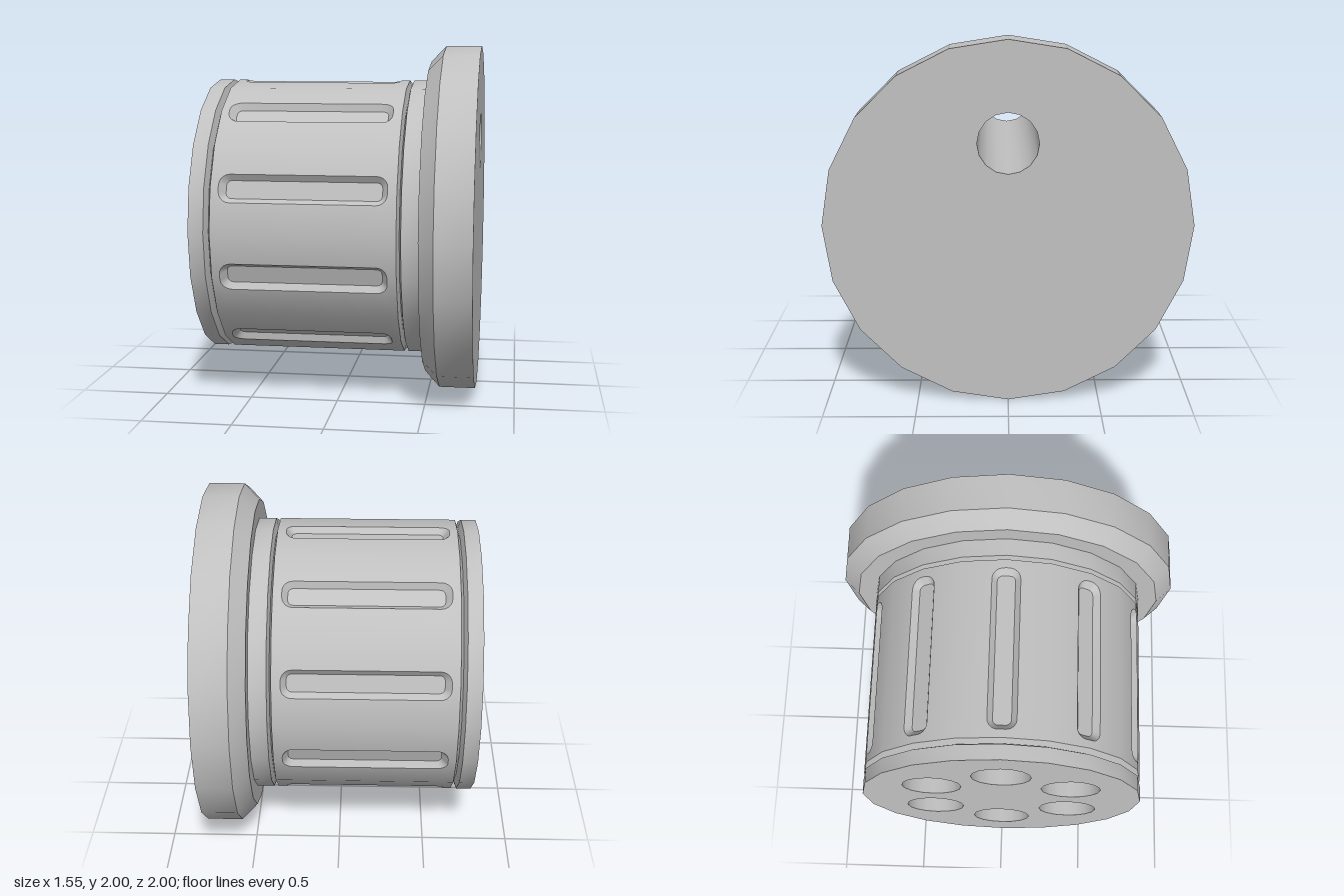
import * as THREE from 'three';
import { mergeGeometries, toCreasedNormals } from 'three/addons/utils/BufferGeometryUtils.js';

const SIDES = 20, R = 0.8, STEP = (2 * Math.PI) / SIDES;
const EDGE = 2 * R * Math.sin(STEP / 2);           // length of one drum facet
const DRUM_X0 = -0.655, DRUM_X1 = 0.36;            // fluted span
const REAR = -0.775, FRONT = 0.775, FLANGE_BACK = 0.485;
const BORE = 0.166, BORE_RING = 0.45, BORE_SIDES = 16;
const FLOOR_R = 0.755;

const grey = new THREE.MeshStandardMaterial({ color: 0xc0c0c0 });
grey.name = 'light grey';

function add(parent, name, geometry) {
  const mesh = new THREE.Mesh(geometry, grey);
  mesh.name = name;
  parent.add(mesh);
  return mesh;
}

// Turned surface around the x axis; profile is [x, radius] pairs
function turned(profile, sides = SIDES) {
  const pts = profile.map(([x, r]) => new THREE.Vector2(r, x));
  const g = new THREE.LatheGeometry(pts, sides).rotateZ(-Math.PI / 2);
  return toCreasedNormals(g, 0.5);
}

function ring(radius, sides, cx = 0, cy = 0) {
  return Array.from({ length: sides }, (_, i) => {
    const a = (i / sides) * 2 * Math.PI;
    return new THREE.Vector2(cx + radius * Math.cos(a), cy + radius * Math.sin(a));
  });
}

// Flat end face with bore openings; dir is +1 for the +x end, -1 for the -x end
function endFace(radius, centres, x, dir) {
  const shape = new THREE.Shape(ring(radius, SIDES));
  for (const [cx, cy] of centres) shape.holes.push(new THREE.Path(ring(BORE, BORE_SIDES, cx, cy)));
  return new THREE.ShapeGeometry(shape).rotateY((dir * Math.PI) / 2).translate(x, 0, 0);
}

// Half outline of a rounded slot as [s, x], s being the distance across the slot
function halfOutline(w, x0, x1, r) {
  const pts = [[0, x0]], n = 5;
  for (let i = 0; i <= n; i++) {
    const a = (i / n) * Math.PI / 2;
    pts.push([w - r + r * Math.sin(a), x0 + r - r * Math.cos(a)]);
  }
  for (let i = 0; i <= n; i++) {
    const a = (i / n) * Math.PI / 2;
    pts.push([w - r + r * Math.cos(a), x1 - r + r * Math.sin(a)]);
  }
  pts.push([0, x1]);
  return pts;
}
const fullOutline = half => [...half, ...half.slice(1, -1).reverse().map(([s, x]) => [-s, x])];

// Point on the faceted drum, folded along s = 0
function onDrum(s, x) {
  const k = Math.abs(s) / EDGE;
  return [x, R * (1 - k + k * Math.cos(STEP)), Math.sign(s) * R * k * Math.sin(STEP)];
}

const rim = halfOutline(0.08, -0.61, 0.31, 0.06);
const bed = halfOutline(0.05, -0.575, 0.28, 0.03);

// Two facets of the drum skin, each with half a slot cut away
function skinPanel() {
  const halves = [1, -1].map(side => {
    const pts = [...rim, [0, DRUM_X1], [EDGE, DRUM_X1], [EDGE, DRUM_X0], [0, DRUM_X0]];
    const g = new THREE.ShapeGeometry(new THREE.Shape(pts.map(([s, x]) => new THREE.Vector2(side * s, x))));
    const p = g.attributes.position, n = g.attributes.normal;
    for (let i = 0; i < p.count; i++) {
      const s = p.getX(i), a = (s / EDGE) * STEP;
      p.setXYZ(i, ...onDrum(s, p.getY(i)));
      n.setXYZ(i, 0, Math.cos(a), Math.sin(a));
    }
    return g;
  });
  return mergeGeometries(halves);
}

// Sloping slot walls
function slotWalls() {
  const top = fullOutline(rim).map(([s, x]) => onDrum(s, x));
  const low = fullOutline(bed).map(([s, x]) => [x, FLOOR_R, s]);
  const v = [];
  top.forEach((o, i) => {
    const j = (i + 1) % top.length;
    v.push(...o, ...top[j], ...low[i], ...top[j], ...low[j], ...low[i]);
  });
  const g = new THREE.BufferGeometry();
  g.setAttribute('position', new THREE.Float32BufferAttribute(v, 3));
  return toCreasedNormals(g, 0.6);
}

// Flat slot bed
function slotFloor() {
  const shape = new THREE.Shape(fullOutline(bed).map(([s, x]) => new THREE.Vector2(x, -s)));
  return new THREE.ShapeGeometry(shape).rotateX(-Math.PI / 2).translate(0, FLOOR_R, 0);
}

export function createModel() {
  const model = new THREE.Group();
  model.name = 'flangedDrum';
  const body = new THREE.Group();
  body.name = 'body';
  body.position.y = 1;
  model.add(body);

  // Fluted drum: ten slots, each centred on a facet edge
  const skin = skinPanel(), walls = slotWalls(), floor = slotFloor();
  for (let i = 0; i < SIDES / 2; i++) {
    const sector = new THREE.Group();
    sector.name = 'drumSector' + (i + 1);
    sector.rotation.x = i * 2 * STEP;
    add(sector, 'drumSkin', skin);
    add(sector, 'slotWalls', walls);
    add(sector, 'slotFloor', floor);
    body.add(sector);
  }

  // Rear collar and front collar with V grooves, then the chamfered flange
  add(body, 'rearCollar', turned([[REAR, R], [-0.69, R], [-0.6725, 0.75], [DRUM_X0, R]]));
  add(body, 'frontCollar', turned([[DRUM_X1, R], [0.3725, 0.75], [0.385, R], [FLANGE_BACK, R]]));
  add(body, 'flange', turned([[FLANGE_BACK, R], [FLANGE_BACK, 0.91], [0.57, 1], [FRONT, 1]]));

  // Six bores; only the top one runs through the flange
  const centres = [];
  for (let i = 0; i < 6; i++) {
    const a = Math.PI / 2 + (i * Math.PI) / 3;
    const z = BORE_RING * Math.cos(a), y = BORE_RING * Math.sin(a);
    centres.push([z, y]);
    const end = i === 0 ? FRONT : FLANGE_BACK;
    add(body, 'bore' + (i + 1), turned([[end, BORE], [REAR, BORE]], BORE_SIDES)).position.set(0, y, z);
    if (i > 0) {
      const stop = new THREE.CircleGeometry(BORE, BORE_SIDES).rotateY(-Math.PI / 2);
      add(body, 'boreEnd' + (i + 1), stop).position.set(end, y, z);
    }
  }
  add(body, 'rearFace', endFace(R, centres, REAR, -1));
  add(body, 'flangeFace', endFace(1, [centres[0]], FRONT, 1));
  return model;
}
